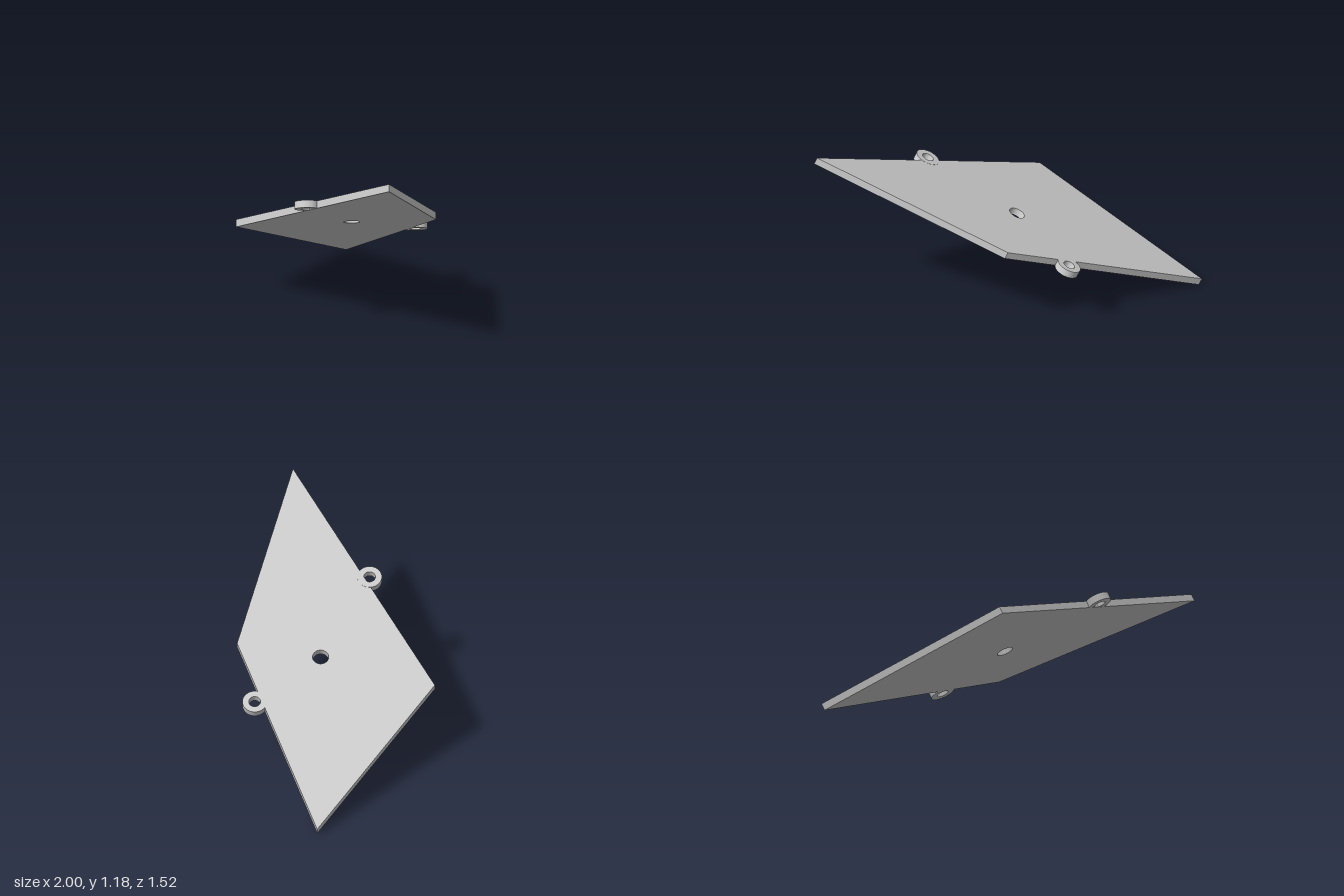
import * as THREE from 'three';
import { toCreasedNormals } from 'three/addons/utils/BufferGeometryUtils.js';

const THICKNESS = 0.048;
const NORMAL = new THREE.Vector3(-0.306, 0.91, -0.28).normalize();
const TILT = new THREE.Quaternion().setFromUnitVectors(new THREE.Vector3(0, 0, 1), NORMAL);
const UNTILT = TILT.clone().invert();
const HEIGHT = 0.616; // height of the upper face at x = z = 0

// Plan position (x, z) on the tilted upper face, in the plate's own flat coordinates
function onPlate(x, z) {
  const y = -(NORMAL.x * x + NORMAL.z * z) / NORMAL.y;
  const p = new THREE.Vector3(x, y, z).applyQuaternion(UNTILT);
  return new THREE.Vector2(p.x, p.y);
}

function circle(path, center, radius) {
  path.absarc(center.x, center.y, radius, 0, Math.PI * 2, false);
  return path;
}

function slab(name, shape) {
  const geometry = new THREE.ExtrudeGeometry(shape, {
    depth: THICKNESS, bevelEnabled: false, curveSegments: 40,
  });
  geometry.translate(0, 0, -THICKNESS);
  const mesh = new THREE.Mesh(
    toCreasedNormals(geometry, 0.6),
    new THREE.MeshStandardMaterial({ color: 0xcccccc }),
  );
  mesh.name = name;
  return mesh;
}

export function createModel() {
  const tilted = new THREE.Group();
  tilted.name = 'tiltedPanel';
  tilted.quaternion.copy(TILT);
  tilted.position.y = HEIGHT;

  // Four-sided plate with a round hole
  const corners = [[-1, -0.758], [-0.747, 0.457], [0.985, 0.75], [0.311, -0.305]];
  const plate = new THREE.Shape(corners.map(([x, z]) => onPlate(x, z)));
  plate.holes.push(circle(new THREE.Path(), onPlate(-0.115, 0.035), 0.052));
  tilted.add(slab('plate', plate));

  // Ring lugs on the two long edges
  const lugs = { frontLug: [0.095, 0.631], backLug: [-0.068, -0.483] };
  for (const [name, [x, z]] of Object.entries(lugs)) {
    const center = onPlate(x, z);
    const ring = circle(new THREE.Shape(), center, 0.079);
    ring.holes.push(circle(new THREE.Path(), center, 0.038));
    const lug = slab(name, ring);
    lug.position.z = 0.001;
    tilted.add(lug);
  }

  const model = new THREE.Group();
  model.name = 'panelWithLugs';
  model.add(tilted);
  return model;
}
